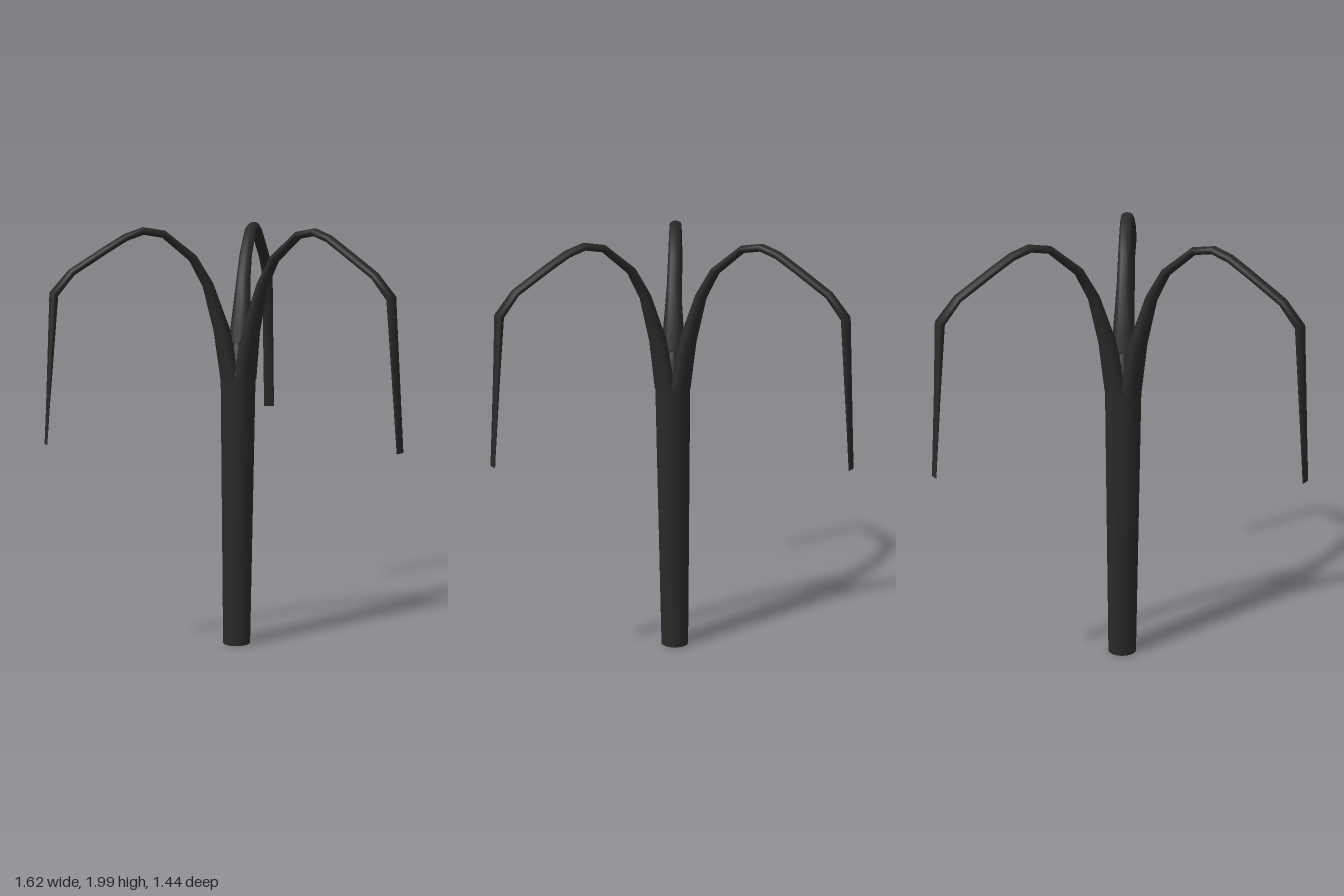
import * as THREE from 'three';

const UP = new THREE.Vector3(0, 1, 0);
const HUB = new THREE.Vector3(-0.012, 0, -0.2);
const SIDES = 12;

// Prong sections: distance from hub, height, half thickness, half width
const SECTIONS = [
  [0.040, 1.28, 0.042, 0.070],
  [0.080, 1.51, 0.037, 0.050],
  [0.146, 1.72, 0.025, 0.034],
  [0.218, 1.845, 0.020, 0.030],
  [0.357, 1.957, 0.017, 0.028],
  [0.452, 1.973, 0.017, 0.028],
  [0.535, 1.946, 0.017, 0.028],
  [0.628, 1.892, 0.017, 0.028],
  [0.790, 1.793, 0.017, 0.028],
  [0.873, 1.698, 0.020, 0.027],
  [0.923, 1.02, 0.002, 0.026],
];

// Lofts one prong from the hub towards (x, z); bow bends it sideways
function prongGeometry(x, z, bow) {
  const out = new THREE.Vector3(x - HUB.x, 0, z - HUB.z).normalize();
  const side = new THREE.Vector3().crossVectors(UP, out);
  const centres = SECTIONS.map(([r, y]) => {
    const u = r / 0.923;
    return HUB.clone().addScaledVector(out, r).addScaledVector(UP, y)
      .addScaledVector(side, bow * Math.sin(Math.PI * u * u * u));
  });
  const dirs = centres.slice(1).map((c, i) => c.clone().sub(centres[i]).normalize());
  const pos = [], index = [];
  SECTIONS.forEach(([, , a, b], i) => {
    const before = dirs[Math.max(i - 1, 0)], after = dirs[Math.min(i, dirs.length - 1)];
    const t = before.clone().add(after).normalize();
    const s = new THREE.Vector3().crossVectors(side, t).cross(t).negate().normalize();
    if (s.dot(side) < 0) s.negate();
    const n = new THREE.Vector3().crossVectors(s, t);
    const miter = 1 / t.dot(after);
    for (let j = 0; j < SIDES; j++) {
      const w = (j / SIDES) * Math.PI * 2;
      const p = centres[i].clone()
        .addScaledVector(n, a * miter * Math.cos(w))
        .addScaledVector(s, b * Math.sin(w));
      pos.push(p.x, p.y, p.z);
      if (i < SECTIONS.length - 1) {
        const k = i * SIDES, j2 = (j + 1) % SIDES;
        index.push(k + j, k + j2, k + SIDES + j, k + j2, k + SIDES + j2, k + SIDES + j);
      }
    }
  });
  // Closed tip
  const last = (SECTIONS.length - 1) * SIDES;
  for (let j = 1; j < SIDES - 1; j++) index.push(last, last + j, last + j + 1);
  const g = new THREE.BufferGeometry();
  g.setAttribute('position', new THREE.Float32BufferAttribute(pos, 3));
  g.setIndex(index);
  g.computeVertexNormals();
  return g;
}

export function createModel() {
  const model = new THREE.Group();
  const material = new THREE.MeshStandardMaterial({ color: 0x2b2928 });
  const add = (name, geometry) => {
    const mesh = new THREE.Mesh(geometry, material);
    mesh.name = name;
    model.add(mesh);
    return mesh;
  };

  // Slightly tilted shaft, wider at the top
  const shaft = new THREE.CylinderGeometry(0.082, 0.065, 1.3, 20);
  shaft.translate(0, 0.65, 0);
  const p = shaft.attributes.position;
  for (let i = 0; i < p.count; i++) {
    const k = 1 - p.getY(i) / 1.3;
    p.setX(i, p.getX(i) + HUB.x + 0.004 * k);
    p.setZ(i, p.getZ(i) + HUB.z - 0.018 * k);
  }
  add('shaft', shaft);

  // Crotch that fills the space between the prong roots
  const crotch = new THREE.CylinderGeometry(0.02, 0.08, 0.15, 20);
  add('crotch', crotch).position.set(HUB.x, 1.375, HUB.z);

  // Three curved prongs
  add('frontProng', prongGeometry(-0.033, 0.72, -0.016));
  add('leftProng', prongGeometry(0.80, -0.64, 0));
  add('rightProng', prongGeometry(-0.797, -0.695, 0));
  return model;
}
